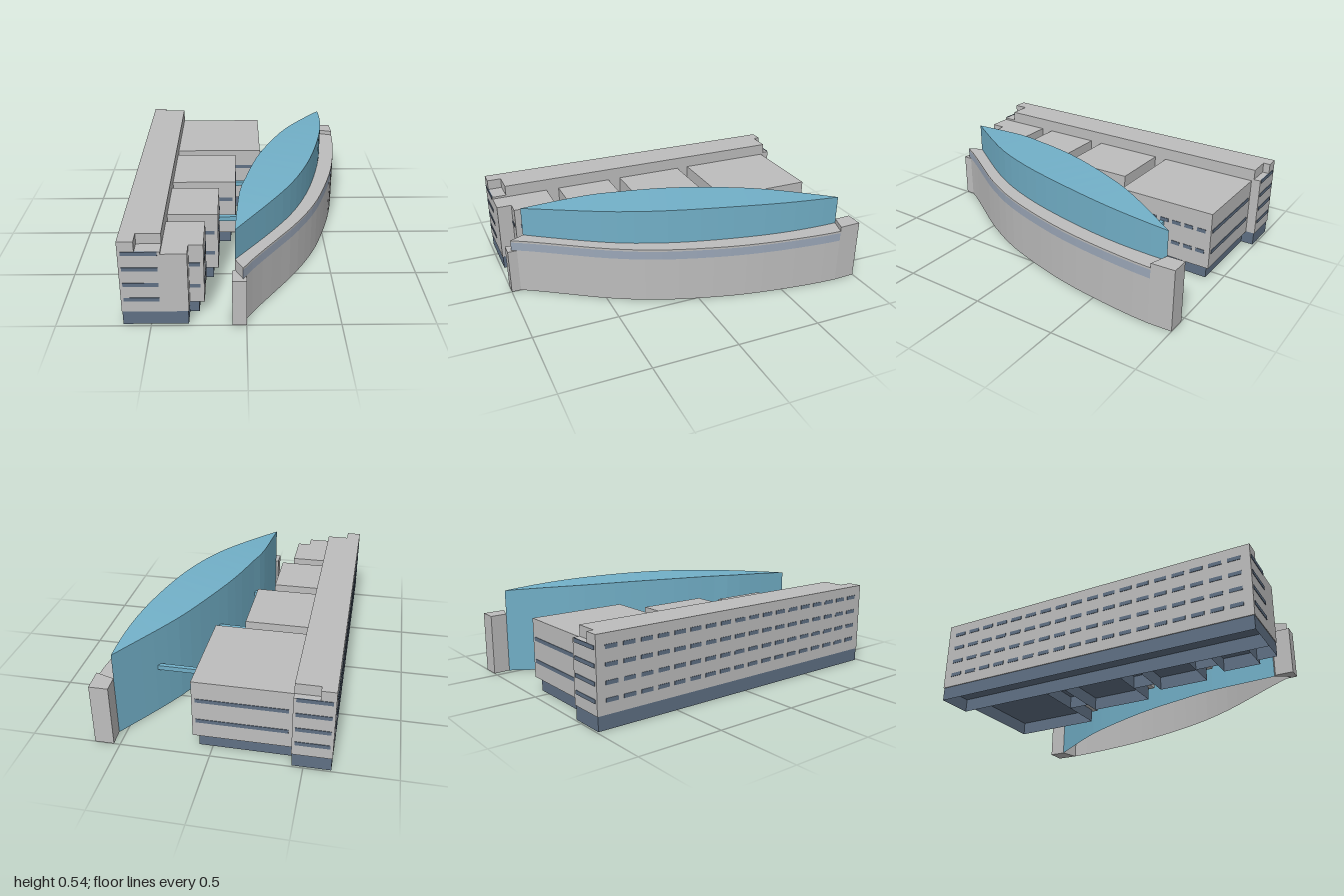
import * as THREE from 'three';

const mat = (name, color) => {
  const m = new THREE.MeshStandardMaterial({ color, side: THREE.DoubleSide });
  m.name = name;
  return m;
};

export function createModel() {
  const model = new THREE.Group();
  const concrete = mat('concrete', 0xbdbdbd);
  const slate = mat('slate', 0x5f7084);
  const glass = mat('glass', 0x72b0c8);
  const ribbonGlass = mat('ribbonGlass', 0x9ba7b8);

  const add = (name, geometry, material) => {
    const mesh = new THREE.Mesh(geometry, material);
    mesh.name = name;
    model.add(mesh);
    return mesh;
  };

  // Box from its two corners; an open one has no underside
  const box = (name, material, x0, x1, y0, y1, z0, z1, open = false) => {
    const g = new THREE.BoxGeometry(x1 - x0, y1 - y0, z1 - z0);
    if (open) {
      const index = Array.from(g.index.array);
      index.splice(18, 6);
      g.setIndex(index);
      g.clearGroups();
    }
    g.translate((x0 + x1) / 2, (y0 + y1) / 2, (z0 + z1) / 2);
    return add(name, g, material);
  };

  // Faceted surface between two rows of points
  const ribbon = (name, material, a, b) => {
    const pos = [];
    for (let i = 0; i < a.length - 1; i++) {
      for (const p of [a[i], b[i], b[i + 1], a[i], b[i + 1], a[i + 1]]) pos.push(p.x, p.y, p.z);
    }
    const g = new THREE.BufferGeometry();
    g.setAttribute('position', new THREE.Float32BufferAttribute(pos, 3));
    g.computeVertexNormals();
    return add(name, g, material);
  };

  // Window strips on faces pointing along z or x
  const T = 0.003;
  const stripZ = (x0, x1, y, z) => box('windowStrip', slate, x0, x1, y - 0.011, y + 0.011, z - T, z + T);
  const dashesX = (x, y, z0, z1, count) => {
    const pitch = (z1 - z0) / count;
    for (let i = 0; i < count; i++) {
      const c = z0 + pitch * (i + 0.5);
      box('window', slate, x - T, x + T, y - 0.011, y + 0.011, c - pitch * 0.34, c + pitch * 0.34);
    }
  };

  // Long main slab with notched upper corners
  box('slab', concrete, -0.65, -0.435, 0.08, 0.437, -0.995, 0.985);
  box('slabTop', concrete, -0.65, -0.435, 0.437, 0.497, -0.955, 0.9);
  box('slabTopFront', concrete, -0.65, -0.565, 0.437, 0.497, 0.9, 0.985);
  box('slabTopBack', concrete, -0.65, -0.57, 0.437, 0.497, -0.995, -0.955);
  box('slabBase', slate, -0.647, -0.438, 0, 0.079, -0.99, 0.982, true);
  for (const y of [0.155, 0.245, 0.337, 0.428]) {
    stripZ(-0.635, -0.45, y, 0.985);
    stripZ(-0.635, -0.45, y, -0.995);
    dashesX(-0.65, y, -0.96, 0.95, 18);
  }

  // Four stepped wings on recessed plinths: [x end, z start, z end, dashes]
  const wings = [[0.105, -0.94, -0.355, 7], [-0.057, -0.28, 0.14, 5],
    [-0.155, 0.22, 0.56, 4], [-0.222, 0.64, 0.897, 3]];
  for (const [x, z0, z1, n] of wings) {
    box('wing', concrete, -0.435, x, 0.08, 0.425, z0, z1);
    box('wingPlinth', slate, -0.438, x - 0.03, 0, 0.078, z0 + 0.025, z1 - 0.025, true);
    for (const y of [0.18, 0.31]) {
      stripZ(-0.41, x - 0.02, y, z0);
      stripZ(x < -0.2 ? -0.298 : -0.41, x - 0.02, y, z1);
      dashesX(x, y, z0 + 0.02, z1 - 0.02, n);
    }
  }
  box('wingFrontBay', concrete, -0.435, -0.3, 0.08, 0.425, 0.897, 0.985);
  box('bayPlinth', slate, -0.438, -0.303, 0, 0.078, 0.872, 0.982, true);

  // Low links between the wings
  for (const [x, z0, z1] of [[-0.18, -0.38, -0.255], [-0.273, 0.115, 0.245], [-0.343, 0.535, 0.665]]) {
    box('link', slate, -0.438, x, 0, 0.076, z0, z1, true);
  }

  // Bridges from the wings to the glass hall
  for (const [x0, x1, z] of [[0.105, 0.375, -0.635], [-0.057, 0.135, -0.14], [-0.155, 0, 0.34]]) {
    box('bridge', glass, x0, x1, 0.273, 0.3, z - 0.013, z + 0.013);
  }

  // Plan curves as [x, z], from the back tip to the front tip
  const N = 20;
  const plan = (pts) => new THREE.SplineCurve(pts.map(([x, z]) => new THREE.Vector2(x, z))).getSpacedPoints(N);
  const at = (pts, f) => pts.map((p) => new THREE.Vector3(p.x, typeof f === 'number' ? f : f(p.y), p.y));
  const inner = plan([[0.54, -0.9], [0.36, -0.62], [0.25, -0.42], [0.13, -0.13], [0.06, 0.08],
    [0, 0.33], [-0.035, 0.5], [-0.06, 0.89]]);
  const middle = plan([[0.54, -0.9], [0.54, -0.8], [0.53, -0.6], [0.5, -0.38], [0.44, -0.1],
    [0.37, 0.14], [0.27, 0.38], [0.14, 0.6], [-0.06, 0.89]]);
  const outer = plan([[0.648, -0.865], [0.638, -0.7], [0.6, -0.4], [0.54, -0.12], [0.43, 0.22],
    [0.3, 0.48], [0.17, 0.68], [0.05, 0.86], [-0.018, 0.975]]);

  // Lens-shaped glass hall with a gently arched roof
  const roofY = (z) => 0.543 - 0.035 * (z / 0.9) ** 2;
  ribbon('glassInnerWall', glass, at(inner, 0), at(inner, roofY));
  ribbon('glassOuterWall', glass, at(middle, 0.33), at(middle, roofY));
  ribbon('glassRoof', glass, at(inner, roofY), at(middle, roofY));

  // Curved front wall with a window ribbon and a ledge
  ribbon('curvedWall', concrete, at(outer, 0), at(outer, 0.272));
  ribbon('wallRibbon', ribbonGlass, at(outer, 0.272), at(outer, 0.323));
  ribbon('wallCap', concrete, at(outer, 0.323), at(outer, 0.335));
  ribbon('wallLedge', concrete, at(middle, 0.335), at(outer, 0.335));
  for (const i of [0, N]) {
    const ends = [middle[i], outer[i]];
    ribbon('wallEnd', concrete, at(ends, 0), at(ends, 0.335));
  }

  // End piers closing the curved wall
  const pier = (name, pts, height) => {
    const shape = new THREE.Shape(pts.map(([x, z]) => new THREE.Vector2(x, -z)));
    const g = new THREE.ExtrudeGeometry(shape, { depth: height, bevelEnabled: false });
    add(name, g.rotateX(-Math.PI / 2), concrete);
  };
  pier('backPier', [[0.535, -1], [0.642, -1], [0.648, -0.865], [0.54, -0.9]], 0.362);
  pier('frontPier', [[-0.075, 0.9], [-0.06, 0.89], [-0.018, 0.975], [0, 0.945], [0, 1], [-0.075, 1]], 0.271);

  return model;
}
